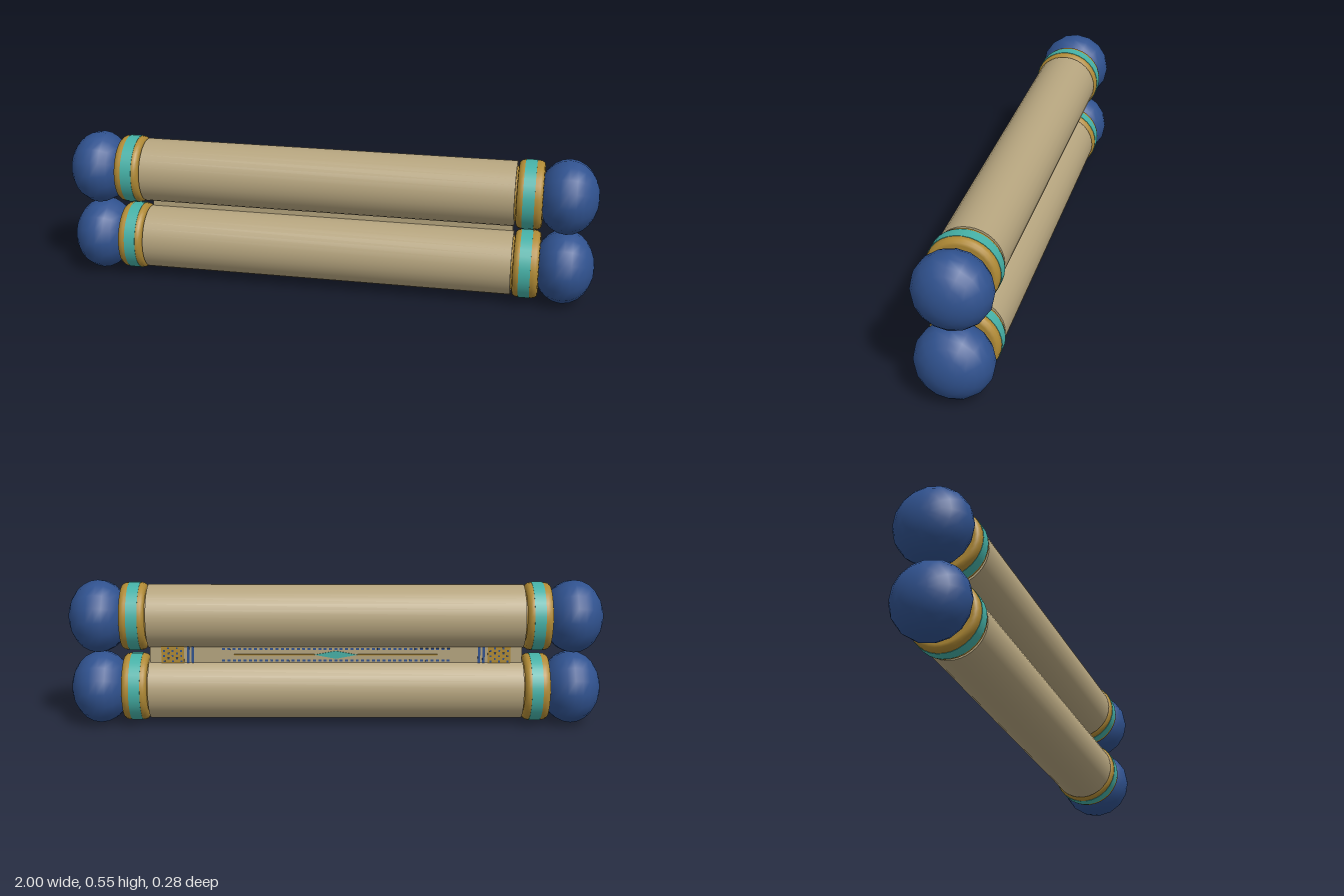
import * as THREE from 'three';

const material = (name, color) => {
  const m = new THREE.MeshStandardMaterial({ color });
  m.name = name;
  return m;
};

export function createModel() {
  const parchment = material('parchment', 0xb5a47e);
  const blue = material('lapis blue', 0x30528f);
  const gold = material('gold', 0xb08a35);
  const teal = material('turquoise', 0x45b0a6);

  const model = new THREE.Group();
  model.name = 'scroll';

  const add = (parent, name, geometry, mat, x = 0, y = 0, z = 0) => {
    const mesh = new THREE.Mesh(geometry, mat);
    mesh.name = name;
    mesh.position.set(x, y, z);
    parent.add(mesh);
    return mesh;
  };
  // Cylinder lying along x
  const bar = (r0, r1, length, open = false) =>
    new THREE.CylinderGeometry(r0, r1, length, 32, 1, open).rotateZ(-Math.PI / 2);

  // Shared geometry of the roll ends
  const rollGeo = bar(0.12, 0.12, 1.4);
  const rodGeo = bar(0.1, 0.1, 1.6);
  const knobGeo = new THREE.SphereGeometry(0.138, 16, 12).rotateZ(-Math.PI / 2).scale(0.812, 1, 1);
  const collarProfile = [[0, -0.047], [0.108, -0.047], [0.118, -0.045], [0.125, -0.036], [0.127, -0.026],
    [0.127, 0.026], [0.125, 0.036], [0.118, 0.045], [0.108, 0.047], [0, 0.047]];
  const collarGeo = new THREE.LatheGeometry(
    collarProfile.map(([r, h]) => new THREE.Vector2(r, h)), 32).rotateZ(-Math.PI / 2);
  const bandGeo = bar(0.1285, 0.1285, 0.042);

  // Two rolled ends, each with collars and knobs
  for (const [label, y] of [['lower', 0.14], ['upper', 0.413]]) {
    const roll = new THREE.Group();
    roll.name = label + 'Roll';
    roll.position.y = y;
    model.add(roll);
    add(roll, 'rolledParchment', rollGeo, parchment);
    add(roll, 'rod', rodGeo, gold);
    for (const side of [-1, 1]) {
      add(roll, 'collar', collarGeo, gold, side * 0.753);
      add(roll, 'collarBand', bandGeo, teal, side * 0.75);
      add(roll, 'knob', knobGeo, blue, side * 0.888);
    }
  }

  // Sheet stretched between the rolls
  const sheet = new THREE.Group();
  sheet.name = 'sheet';
  sheet.position.set(0, 0.2765, 0);
  model.add(sheet);
  add(sheet, 'parchmentSheet', new THREE.BoxGeometry(1.39, 0.26, 0.034), parchment, 0, 0, -0.037);

  // Painted ornament on the back of the sheet
  const plate = (name, w, h, mat, x, y, layer = 0) =>
    add(sheet, name, new THREE.BoxGeometry(w, h, 0.003), mat, x, y, -0.0545 - layer * 0.001);

  for (const side of [-1, 1]) {
    plate('goldPanel', 0.085, 0.08, gold, side * 0.61, 0);
    for (const x of [0.535, 0.552]) plate('blueStripe', 0.009, 0.08, blue, side * x, 0);
    // Checker of small blue squares on each gold panel
    for (let i = 0; i < 5; i++)
      for (let j = 0; j < 3; j++)
        plate('panelDot', 0.007, 0.007, blue, side * (0.578 + i * 0.016), (j - 1) * 0.02 + (i % 2 ? 0.005 : -0.005), 1);
  }

  // Dotted border rows
  for (let i = -21; i <= 21; i++)
    for (const y of [-0.022, 0.022]) plate('borderDot', 0.011, 0.007, blue, i * 0.02, y);

  // Centre line with a turquoise lozenge
  for (const side of [-1, 1]) plate('centreLine', 0.3, 0.004, gold, side * 0.23, 0);
  const lozenge = new THREE.CylinderGeometry(1, 1, 0.003, 4).rotateX(Math.PI / 2).scale(0.08, 0.015, 1);
  add(sheet, 'lozenge', lozenge, teal, 0, 0, -0.0555);

  return model;
}
